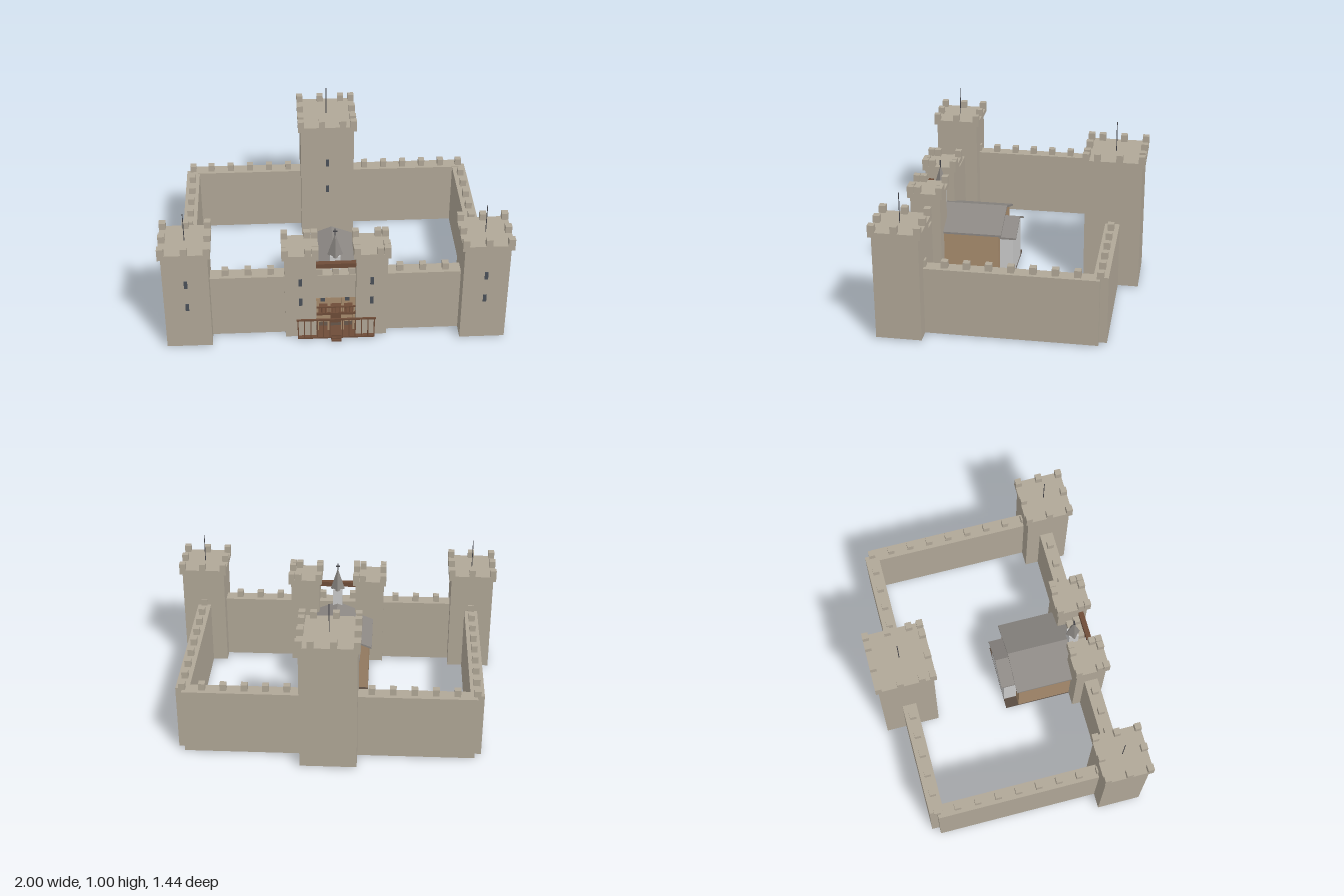
import * as THREE from 'three';

const mat = (color) => new THREE.MeshStandardMaterial({ color, flatShading: true });
const stone = mat(0xb0a797), slate = mat(0x8c8884), dark = mat(0x4a5058), iron = mat(0x45454a);
const wood = mat(0x6e4c38), tan = mat(0xa88c6e), plaster = mat(0xc4c4c4), floorMat = mat(0x5a4c42);

export function createModel() {
  const root = new THREE.Group();

  const group = (name) => {
    const g = new THREE.Group();
    g.name = name;
    root.add(g);
    return g;
  };
  const add = (parent, name, geometry, material) => {
    const m = new THREE.Mesh(geometry, material);
    m.name = name;
    parent.add(m);
    return m;
  };
  // Box given by its extents
  const box = (parent, name, material, x0, x1, y0, y1, z0, z1) => {
    const m = add(parent, name, new THREE.BoxGeometry(x1 - x0, y1 - y0, z1 - z0), material);
    m.position.set((x0 + x1) / 2, (y0 + y1) / 2, (z0 + z1) / 2);
    return m;
  };
  const merlon = (parent, x, y, z, s = 0.038) =>
    box(parent, 'merlon', stone, x - s / 2, x + s / 2, y, y + 0.042, z - s / 2, z + s / 2);
  // Cross-section in x and y, swept from z0 to z1
  const sweep = (parent, name, material, points, z0, z1) => {
    const shape = new THREE.Shape(points.map(([x, y]) => new THREE.Vector2(x, y)));
    const m = add(parent, name, new THREE.ExtrudeGeometry(shape, { depth: z1 - z0, bevelEnabled: false }), material);
    m.position.z = z0;
    return m;
  };

  // Square tower: body, overhanging cap, merlon ring, slit windows and pole
  function tower(name, x, z, half, capHalf, capY, windows, poleTop) {
    const g = group(name);
    box(g, 'body', stone, x - half, x + half, 0.01, capY, z - half, z + half);
    box(g, 'cap', stone, x - capHalf, x + capHalf, capY - 0.03, capY, z - capHalf, z + capHalf);
    const e = capHalf - 0.019;
    const steps = [];
    for (let o = -e; o < e - 0.01; o += 0.13) steps.push(o);
    steps.push(e);
    for (const o of steps) {
      merlon(g, x + o, capY, z - e);
      merlon(g, x + o, capY, z + e);
      if (Math.abs(o) < e - 0.001) {
        merlon(g, x - e, capY, z + o);
        merlon(g, x + e, capY, z + o);
      }
    }
    for (const y of windows)
      box(g, 'slitWindow', dark, x - 0.01, x + 0.01, y - 0.025, y + 0.025, z + half - 0.004, z + half + 0.004);
    if (poleTop) {
      const p = add(g, 'pole', new THREE.CylinderGeometry(0.0025, 0.0025, poleTop - capY, 6), iron);
      p.position.set(x, (poleTop + capY) / 2, z);
    }
  }

  tower('keep', 0, -0.54, 0.166, 0.182, 0.82, [0.36, 0.555], 1.0);
  for (const s of [-1, 1]) {
    tower('cornerTower', s * 0.852, 0.574, 0.131, 0.147, 0.67, [0.295, 0.455], 0.85);
    tower('gateTower', s * 0.205, 0.562, 0.09, 0.105, 0.6, [0.265, 0.405], 0);
  }

  // Curtain walls
  const walls = group('curtainWalls');
  for (const s of [-1, 1]) {
    const span = (a, b) => (s > 0 ? [a, b] : [-b, -a]);
    box(walls, 'frontWall', stone, ...span(0.29, 0.73), 0.01, 0.418, 0.525, 0.608);
    box(walls, 'backWall', stone, ...span(0.15, 0.853), 0.01, 0.418, -0.585, -0.5);
    box(walls, 'sideWall', stone, ...span(0.812, 0.893), 0.01, 0.416, -0.54, 0.46);
    for (const x of [0.372, 0.503, 0.634]) merlon(walls, s * x, 0.418, 0.567);
    for (let i = 0; i < 5; i++) merlon(walls, s * (0.245 + i * 0.123), 0.418, -0.54);
    for (let i = 0; i < 9; i++) merlon(walls, s * 0.853, 0.416, -0.54 + i * 0.124);
  }

  // Gate between the two inner towers
  const gate = group('gate');
  box(gate, 'gateWall', stone, -0.12, 0.12, 0.255, 0.418, 0.525, 0.608);
  for (const x of [-0.095, 0, 0.095]) merlon(gate, x, 0.418, 0.585);
  box(gate, 'gateBeam', wood, -0.118, 0.118, 0.485, 0.515, 0.6, 0.63);

  // Hall with gabled slate roof
  const hall = group('hall');
  box(hall, 'hallFloor', floorMat, -0.21, 0.21, 0, 0.012, 0.06, 0.58);
  sweep(hall, 'hallBody', tan,
    [[-0.21, 0.012], [0.21, 0.012], [0.21, 0.315], [0, 0.4], [-0.21, 0.315]], 0.14, 0.53);
  const roof = (name, w, eave, ridge, z0, z1) => sweep(hall, name, slate,
    [[-w, eave], [0, ridge - 0.012], [w, eave], [w, eave + 0.012], [0, ridge], [-w, eave + 0.012]], z0, z1);
  roof('hallRoof', 0.23, 0.31, 0.415, 0.12, 0.525);
  sweep(hall, 'apseBody', plaster,
    [[-0.15, 0.012], [0.15, 0.012], [0.15, 0.27], [0, 0.335], [-0.15, 0.27]], 0.06, 0.15);
  roof('apseRoof', 0.158, 0.262, 0.35, 0.04, 0.14);

  // Belfry with pyramid spire and cross
  box(hall, 'belfry', plaster, -0.03, 0.03, 0.38, 0.515, 0.5, 0.56);
  const spire = add(hall, 'spire', new THREE.ConeGeometry(0.045, 0.145, 4), slate);
  spire.position.set(0, 0.5825, 0.53);
  box(hall, 'crossPost', iron, -0.003, 0.003, 0.645, 0.69, 0.527, 0.533);
  box(hall, 'crossArm', iron, -0.013, 0.013, 0.668, 0.674, 0.527, 0.533);

  // Hall front seen through the gate: door, columns and gallery
  const facade = group('facade');
  box(facade, 'door', wood, -0.035, 0.035, 0.012, 0.095, 0.525, 0.54);
  box(facade, 'gallery', wood, -0.115, 0.115, 0.135, 0.15, 0.53, 0.62);
  box(facade, 'galleryRail', wood, -0.115, 0.115, 0.188, 0.196, 0.612, 0.62);
  for (const x of [-0.106, -0.04, 0.04, 0.106])
    box(facade, 'column', tan, x - 0.008, x + 0.008, 0.012, 0.255, 0.595, 0.611);
  for (let i = -5; i <= 5; i++)
    box(facade, 'galleryBaluster', wood, i * 0.02 - 0.002, i * 0.02 + 0.002, 0.15, 0.19, 0.614, 0.618);
  for (const s of [-1, 1])
    box(facade, 'windowPane', dark, s * 0.072 - 0.014, s * 0.072 + 0.014, 0.17, 0.235, 0.526, 0.534);

  // Porch railing across the front, with entrance steps
  const porch = group('porch');
  box(porch, 'porchDeck', wood, -0.225, 0.225, 0.005, 0.015, 0.57, 0.675);
  box(porch, 'topRail', wood, -0.23, 0.23, 0.138, 0.148, 0.666, 0.676);
  for (let i = -6; i <= 6; i++) {
    const x = i * 0.037;
    if (i) box(porch, 'railPost', wood, x - 0.003, x + 0.003, 0.015, 0.14, 0.668, 0.674);
  }
  for (let i = 0; i < 3; i++)
    box(porch, 'step', wood, -0.03, 0.03, 0.004, 0.012 + i * 0.01, 0.66, 0.705 - i * 0.012);

  return root;
}
